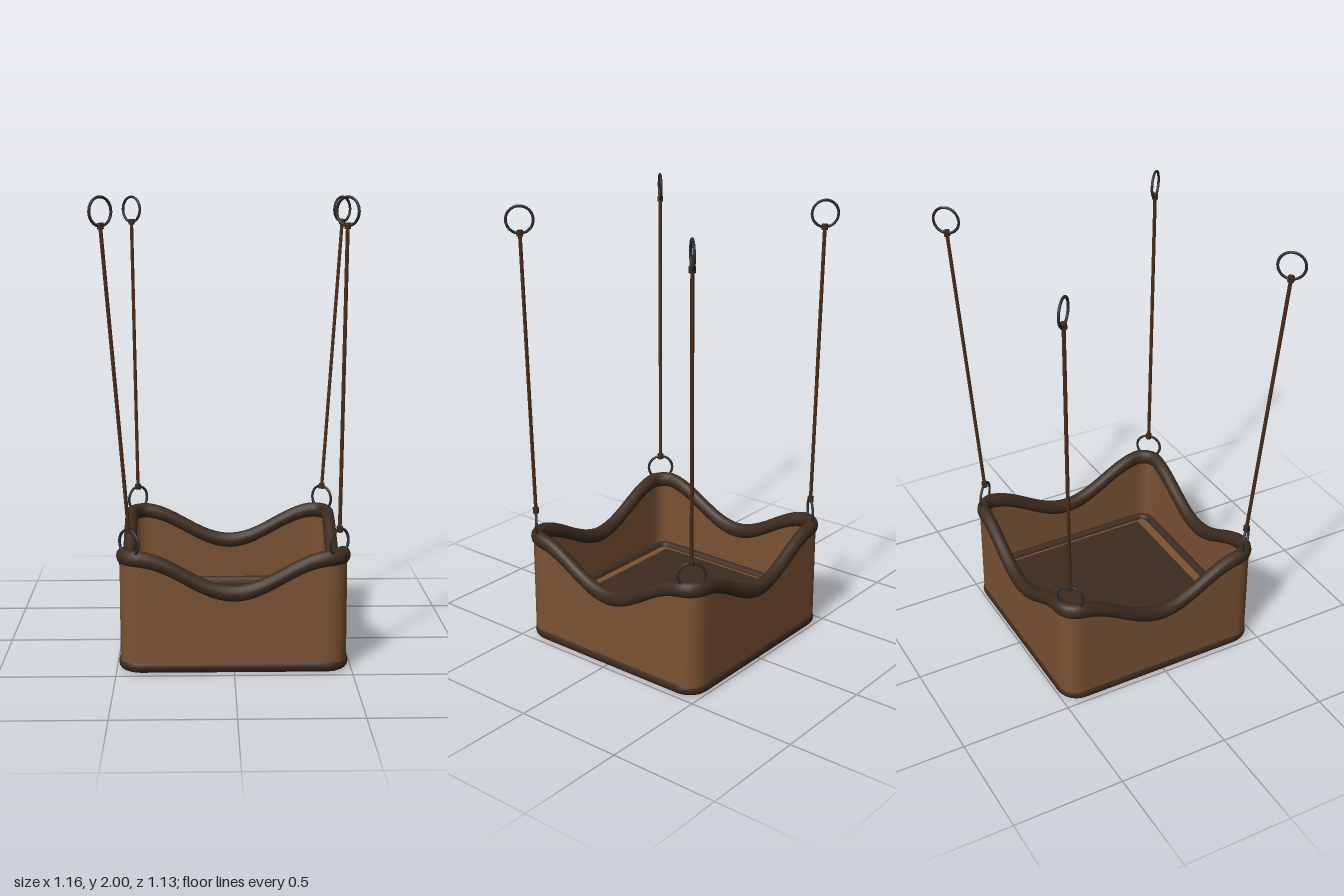
import * as THREE from 'three';
import { toCreasedNormals } from 'three/addons/utils/BufferGeometryUtils.js';

const mat = (name, color) => {
  const m = new THREE.MeshStandardMaterial({ color });
  m.name = name;
  return m;
};

// Points and outward normals around a rounded square (half size s, corner radius r)
function roundedSquare(s, r, arcSteps = 8, sideSteps = 24) {
  const pts = [];
  const c = s - r;
  for (let k = 0; k < 4; k++) {
    const mid = (k + 0.5) * Math.PI / 2;
    const cx = Math.sign(Math.cos(mid)) * c, cz = Math.sign(Math.sin(mid)) * c;
    for (let i = 0; i <= arcSteps; i++) {
      const t = (k + i / arcSteps) * Math.PI / 2;
      const nx = Math.cos(t), nz = Math.sin(t);
      pts.push({ x: cx + r * nx, z: cz + r * nz, nx, nz });
    }
    // straight side leading to the next corner
    const e = pts[pts.length - 1];
    for (let i = 1; i < sideSteps; i++) {
      const d = 2 * c * i / sideSteps;
      pts.push({ x: e.x - e.nz * d, z: e.z + e.nx * d, nx: e.nx, nz: e.nz });
    }
  }
  return pts;
}

// Height of the wavy upper edge: high at the corners, low mid-side
function edgeHeight(x, z) {
  const u = Math.min(1, Math.min(Math.abs(x), Math.abs(z)) / 0.42);
  const dip = Math.abs(z) > Math.abs(x) ? 0.15 : 0.16;
  return 0.495 - dip * (0.5 + 0.5 * Math.cos(Math.PI * u));
}

// Sweeps a closed section of [outward, y] points around a rounded square
function sweep(s, r, section) {
  const path = roundedSquare(s, r);
  const pos = [], index = [];
  const n = path.length;
  let m = 0;
  for (const p of path) {
    const sec = section(edgeHeight(p.x, p.z));
    m = sec.length;
    for (const [a, y] of sec) pos.push(p.x + p.nx * a, y, p.z + p.nz * a);
  }
  for (let i = 0; i < n; i++) {
    for (let j = 0; j < m; j++) {
      const i2 = (i + 1) % n, j2 = (j + 1) % m;
      const a = i * m + j, b = i * m + j2, c = i2 * m + j, d = i2 * m + j2;
      index.push(a, b, c, b, d, c);
    }
  }
  const g = new THREE.BufferGeometry();
  g.setAttribute('position', new THREE.Float32BufferAttribute(pos, 3));
  g.setIndex(index);
  g.computeVertexNormals();
  return g;
}

const oval = (ra, rb, y) => Array.from({ length: 14 }, (_, i) => {
  const p = i / 14 * Math.PI * 2;
  return [ra * Math.cos(p), y + rb * Math.sin(p)];
});

export function createModel() {
  const model = new THREE.Group();
  model.name = 'hangingBasket';
  const tan = mat('tan leather', 0x7b5233);
  const dark = mat('dark leather', 0x3d2b1f);
  const cord = mat('rope brown', 0x4a2d1a);
  const metal = mat('dark metal', 0x2b2c2e);

  const add = (parent, name, geo, material) => {
    const mesh = new THREE.Mesh(geo, material);
    mesh.name = name;
    parent.add(mesh);
    return mesh;
  };

  // Basket body
  const basket = new THREE.Group();
  basket.name = 'basket';
  basket.position.set(-0.002, 0, -0.01);
  model.add(basket);

  const wall = sweep(0.483, 0.085, h => [[-0.028, 0.03], [0, 0.03], [0, h], [-0.028, h]]);
  add(basket, 'wall', toCreasedNormals(wall, 0.7), tan);
  add(basket, 'topRim', sweep(0.468, 0.08, h => oval(0.03, 0.036, h)), dark);
  add(basket, 'bottomRim', sweep(0.46, 0.07, () => oval(0.03, 0.03, 0.03)), dark);
  add(basket, 'floorTrim', sweep(0.428, 0.05, () => oval(0.02, 0.02, 0.155)), dark);

  // Floor board with a dark pad through its middle
  add(basket, 'floorBoard', new THREE.BoxGeometry(0.88, 0.025, 0.88), tan).position.y = 0.143;
  add(basket, 'floorPad', new THREE.BoxGeometry(0.765, 0.045, 0.72), dark).position.set(0.004, 0.143, 0);

  // Straight rod between two points
  const rod = (parent, name, a, b, radius, material) => {
    const dir = b.clone().sub(a);
    const mesh = add(parent, name, new THREE.CylinderGeometry(radius, radius, dir.length(), 10), material);
    mesh.position.copy(a).add(b).multiplyScalar(0.5);
    mesh.quaternion.setFromUnitVectors(new THREE.Vector3(0, 1, 0), dir.normalize());
  };

  // One rope per corner: [x sign, z sign, top x, top z]
  const corners = [
    [-1, 1, 0.537, 0.515], [1, -1, 0.532, 0.517],
    [-1, -1, 0.46, 0.462], [1, 1, 0.457, 0.463],
  ];
  for (const [sx, sz, tx, tz] of corners) {
    const hanger = new THREE.Group();
    hanger.name = 'hanger';
    model.add(hanger);
    const low = new THREE.Vector3(sx * 0.442, 0.615, sz * 0.445 - 0.004);
    const high = new THREE.Vector3(sx * tx, 1.88, sz * tz);
    const facing = Math.atan2(sx, sz);

    const lowRing = add(hanger, 'rimRing', new THREE.TorusGeometry(0.058, 0.006, 8, 32), metal);
    lowRing.position.set(low.x, 0.56, low.z);
    lowRing.rotation.y = facing;

    const topRing = add(hanger, 'topRing', new THREE.TorusGeometry(0.058, 0.006, 8, 32), metal);
    topRing.position.set(high.x, 1.935, high.z);
    topRing.rotation.y = facing + Math.PI / 2;

    rod(hanger, 'rope', low, high, 0.008, cord);
    const along = t => low.clone().lerp(high, t);
    rod(hanger, 'lowerKnot', along(-0.008), along(0.012), 0.014, dark);
    rod(hanger, 'upperKnot', along(0.988), along(1.008), 0.014, dark);
  }
  return model;
}
